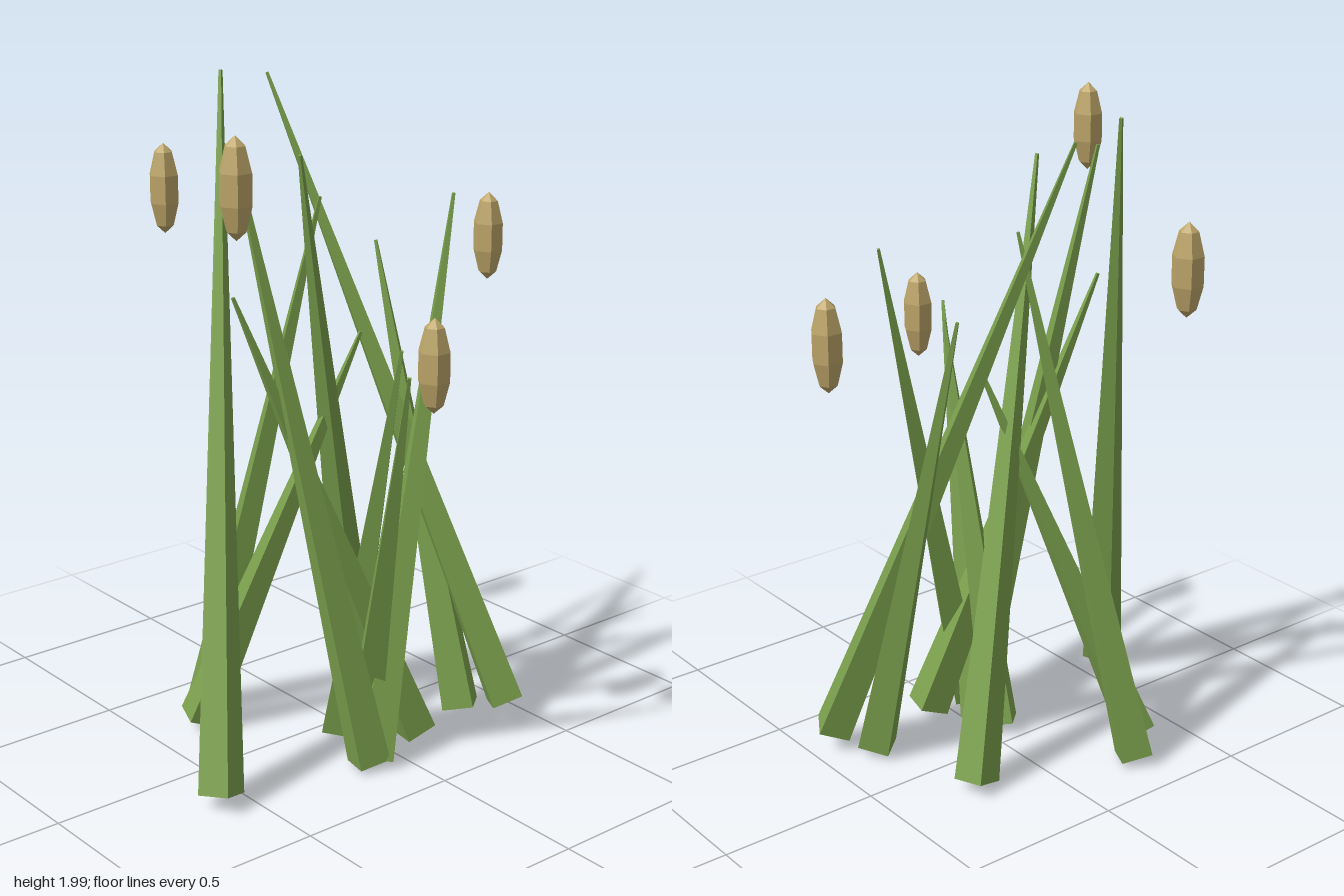
import * as THREE from 'three';

// Each blade: base centre, tip centre, turn of its square section in degrees
const BLADES = [
  [[0.31, 0.075, -0.42], [-0.30, 1.97, 0.01], 30],
  [[0.21, 0.05, 0.59], [-0.26, 2.0, 0.205], 65],
  [[0.29, 0.03, 0.11], [0.045, 1.84, 0.39], 15],
  [[-0.16, 0.04, -0.225], [0.135, 1.82, 0.235], 74],
  [[-0.33, 0.035, 0.25], [-0.02, 1.655, 0.04], 27],
  [[0.29, 0.035, 0.09], [0.13, 1.64, -0.335], 30],
  [[0.2, 0.04, -0.335], [-0.11, 1.47, -0.245], 50],
  [[0.08, 0.04, 0.05], [0.36, 1.29, 0.06], 45],
  [[0.17, 0.03, 0.03], [0.54, 1.28, 0.19], 40],
  [[0.265, 0.06, -0.09], [0.065, 1.44, 0.415], 12],
  [[-0.23, 0.045, 0.345], [0.06, 1.26, -0.045], 18],
];

const SEEDS = [
  [-0.51, 1.625, 0.235],
  [0, 1.45, -0.6],
  [0.335, 1.81, 0.6],
  [0.487, 1.275, 0.055],
];

export function createModel() {
  const model = new THREE.Group();
  const green = new THREE.MeshStandardMaterial({ color: 0x7ba04d, flatShading: true });
  green.name = 'grassGreen';
  const tan = new THREE.MeshStandardMaterial({ color: 0xbfa76a, flatShading: true });
  tan.name = 'seedTan';

  // Leaning blades: tapered four-sided stalks from base to tip
  const blades = new THREE.Group();
  blades.name = 'grassBlades';
  const up = new THREE.Vector3(0, 1, 0);
  for (const [a, b, turn] of BLADES) {
    const base = new THREE.Vector3(...a);
    const tip = new THREE.Vector3(...b);
    const dir = tip.clone().sub(base);
    const length = dir.length();
    const geo = new THREE.CylinderGeometry(0.006, 0.068, length, 4);
    geo.rotateY(Math.PI / 4 - THREE.MathUtils.degToRad(turn));
    geo.translate(0, length / 2, 0);
    const blade = new THREE.Mesh(geo, green);
    blade.name = 'grassBlade';
    blade.position.copy(base);
    blade.quaternion.setFromUnitVectors(up, dir.normalize());
    blades.add(blade);
  }
  model.add(blades);

  // Floating seed heads: stretched six-sided spheres
  const seeds = new THREE.Group();
  seeds.name = 'seedHeads';
  const seedGeo = new THREE.SphereGeometry(0.048, 6, 5);
  seedGeo.rotateY(Math.PI / 2);
  seedGeo.scale(1, 2.82, 1);
  for (const p of SEEDS) {
    const seed = new THREE.Mesh(seedGeo, tan);
    seed.name = 'seedHead';
    seed.position.set(...p);
    seeds.add(seed);
  }
  model.add(seeds);
  return model;
}
